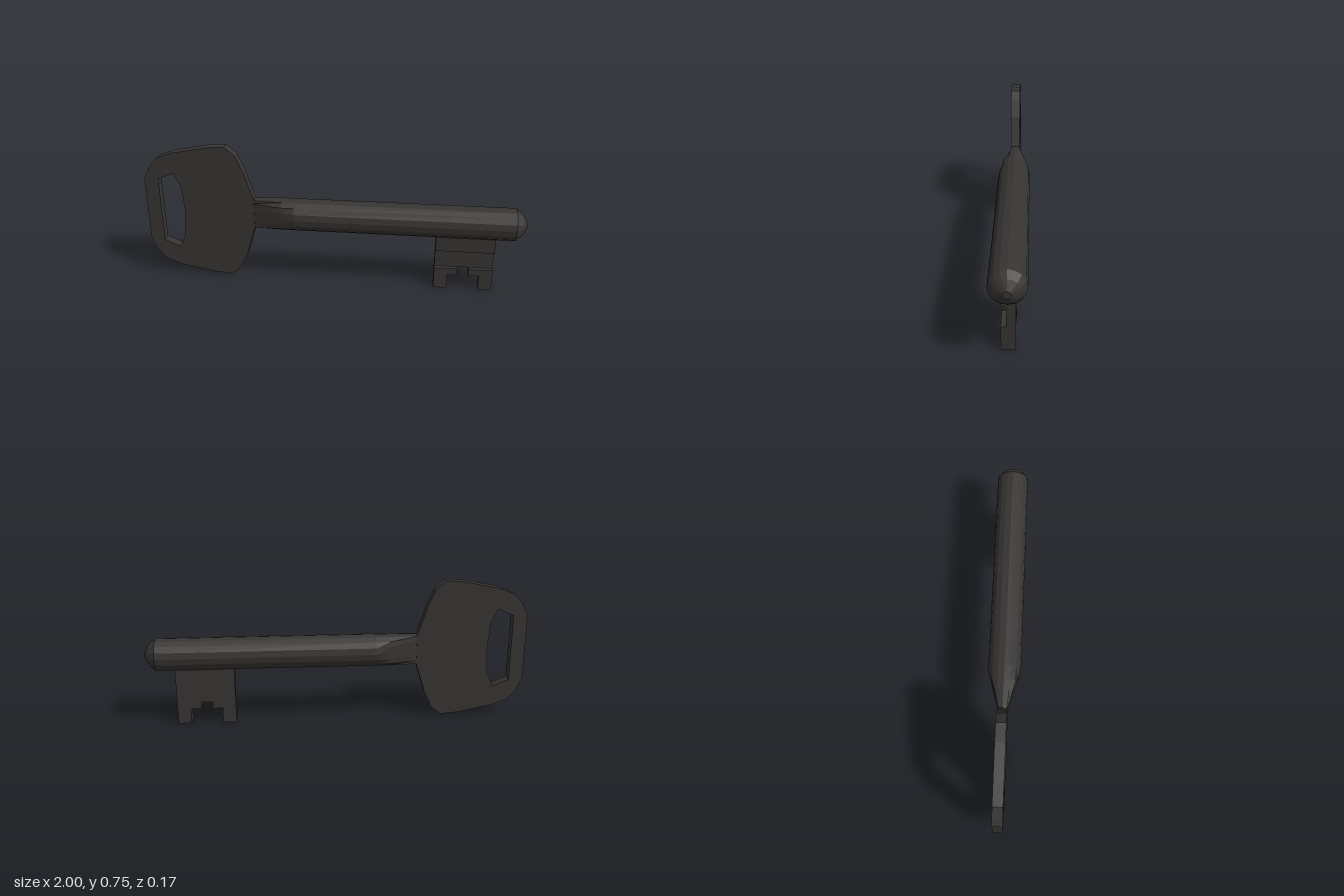
import * as THREE from 'three';

const AXIS = 0.381; // height of the shaft's centre line

const material = new THREE.MeshStandardMaterial({ color: 0x373533, flatShading: true });

const toVectors = (points) => points.map(([x, y]) => new THREE.Vector2(x, y));

// Closes an upper half outline, given left to right, with its mirror image (counterclockwise)
const mirrored = (half) =>
  toVectors([...half.filter(([, y]) => y !== 0).map(([x, y]) => [x, -y]), ...[...half].reverse()]);

// Straight slab of an outline, from z0 to z1
function slab(name, shape, z0, z1) {
  const geometry = new THREE.ExtrudeGeometry(shape, { depth: z1 - z0, bevelEnabled: false });
  geometry.translate(0, 0, z0);
  const mesh = new THREE.Mesh(geometry, material);
  mesh.name = name;
  return mesh;
}

// Flat handle with a hanging hole
function createBow() {
  const shape = new THREE.Shape(mirrored([
    [-1, 0.18], [-0.965, 0.25], [-0.925, 0.295], [-0.84, 0.328], [-0.65, 0.365],
    [-0.56, 0.372], [-0.51, 0.33], [-0.47, 0.245], [-0.42, 0.085],
  ]));
  shape.holes.push(new THREE.Path(mirrored([
    [-0.925, 0.18], [-0.84, 0.216], [-0.806, 0.14], [-0.795, 0],
  ])));
  const bow = slab('bow', shape, -0.025, 0.025);
  bow.position.y = AXIS;
  return bow;
}

// Round shaft with a domed tip, its other end pinched to the bow's thickness
function createShaft() {
  const profile = [
    [0, -0.42], [0.085, -0.42], [0.085, -0.27], [0.085, -0.2],
    [0.085, 0.94], [0.06, 0.975], [0.018, 1], [0, 1],
  ];
  const geometry = new THREE.LatheGeometry(toVectors(profile), 16);
  geometry.rotateZ(-Math.PI / 2);
  const pos = geometry.attributes.position;
  for (let i = 0; i < pos.count; i++) {
    const t = THREE.MathUtils.clamp((pos.getX(i) + 0.42) / 0.22, 0, 1);
    const limit = THREE.MathUtils.lerp(0.022, 0.085, t);
    pos.setZ(i, THREE.MathUtils.clamp(pos.getZ(i), -limit, limit));
  }
  geometry.computeVertexNormals();
  const shaft = new THREE.Mesh(geometry, material);
  shaft.name = 'shaft';
  shaft.position.y = AXIS;
  return shaft;
}

// Toothed bit, grooved along its front face
function createBit() {
  const rectangle = (x0, y0, x1, y1) =>
    new THREE.Shape(toVectors([[x0, y0], [x1, y0], [x1, y1], [x0, y1]]));
  const nearTooth = new THREE.Shape(toVectors([
    [0.542, 0], [0.613, 0], [0.613, 0.082], [0.664, 0.082], [0.664, 0.12], [0.542, 0.12],
  ]));
  const farTooth = new THREE.Shape(toVectors([
    [0.722, 0.12], [0.722, 0.082], [0.78, 0.082], [0.78, 0], [0.849, 0], [0.849, 0.12],
  ]));
  const bit = new THREE.Group();
  bit.name = 'bit';
  bit.add(
    slab('bitTeeth', [nearTooth, farTooth], -0.033, 0.033),
    slab('bitGroove', rectangle(0.542, 0.12, 0.849, 0.222), -0.033, 0.01),
    slab('bitRoot', rectangle(0.542, 0.222, 0.849, 0.33), -0.033, 0.033),
  );
  return bit;
}

export function createModel() {
  const key = new THREE.Group();
  key.name = 'key';
  key.add(createBow(), createShaft(), createBit());
  return key;
}
